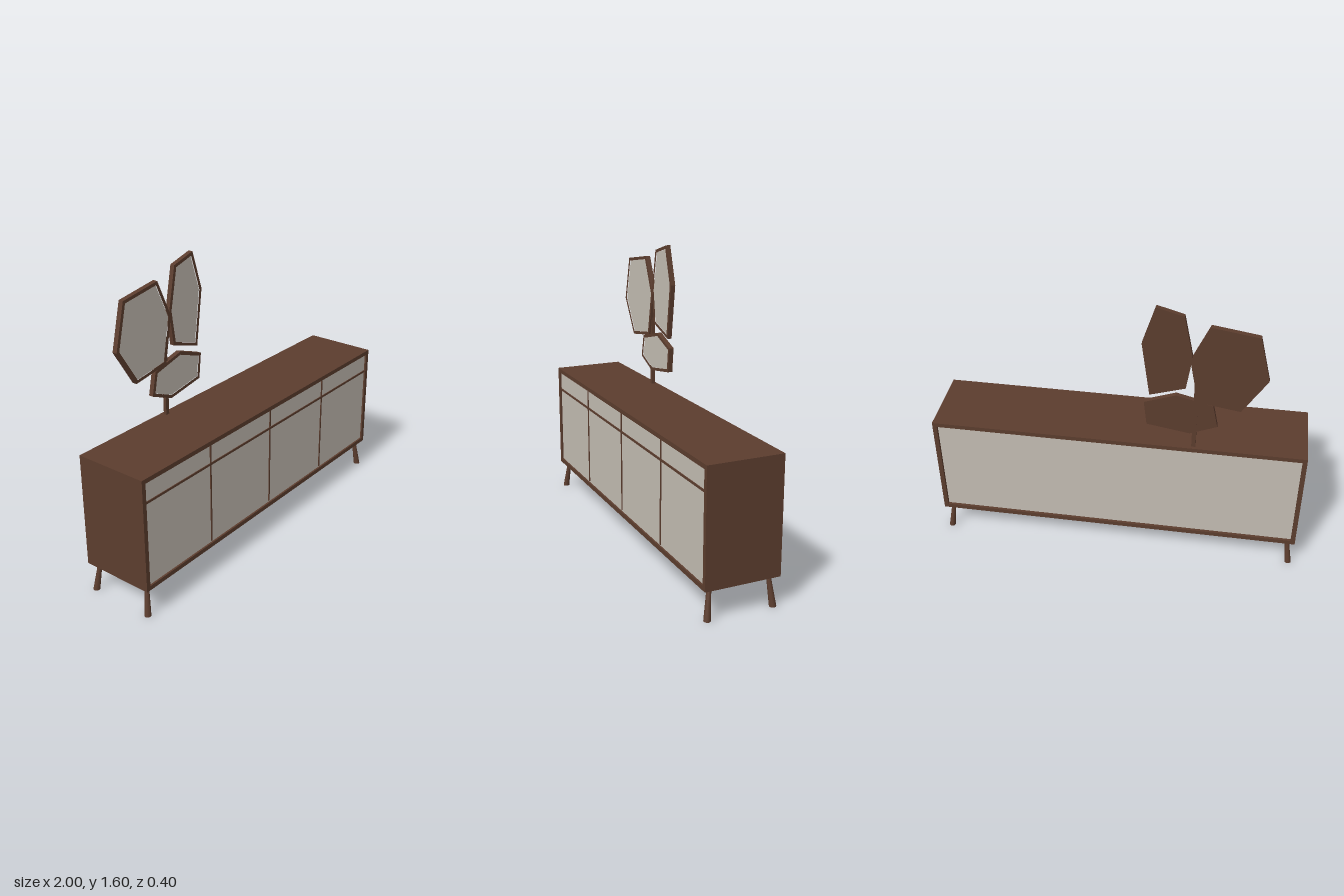
import * as THREE from 'three';

const wood = new THREE.MeshStandardMaterial({ name: 'walnutBrown', color: 0x5c3d2e });
const pale = new THREE.MeshStandardMaterial({ name: 'paleGrey', color: 0xc4bdb3 });
const woodFlat = wood;

function add(parent, name, geometry, material, x = 0, y = 0, z = 0) {
  const mesh = new THREE.Mesh(geometry, material);
  mesh.name = name;
  mesh.position.set(x, y, z);
  parent.add(mesh);
  return mesh;
}
const box = (w, h, d) => new THREE.BoxGeometry(w, h, d);

// Polygon inset by a constant distance (points run clockwise)
function inset(points, d) {
  const n = points.length;
  const edges = points.map((p, i) => {
    const q = points[(i + 1) % n];
    const dir = q.clone().sub(p).normalize();
    return { p: p.clone().add(new THREE.Vector2(dir.y, -dir.x).multiplyScalar(d)), dir };
  });
  return edges.map((e, i) => {
    const f = edges[(i + n - 1) % n];
    const t = e.p.clone().sub(f.p).cross(e.dir) / f.dir.cross(e.dir);
    return f.p.clone().addScaledVector(f.dir, t);
  });
}

// Framed polygonal mirror: backing, raised rim and pale glass
function mirrorPanel(name, coords, front) {
  const group = new THREE.Group();
  group.name = name;
  const outer = coords.map(([x, y]) => new THREE.Vector2(x, y));
  const inner = inset(outer, 0.017);
  const back = -0.184;
  const extrude = (shape, depth) => new THREE.ExtrudeGeometry(shape, { depth, bevelEnabled: false });
  const rim = new THREE.Shape(outer);
  rim.holes.push(new THREE.Path(inner));
  add(group, 'mirrorRim', extrude(rim, front - back), wood, 0, 0, back);
  add(group, 'mirrorBacking', extrude(new THREE.Shape(inner), 0.012), wood, 0, 0, back);
  add(group, 'mirrorGlass', extrude(new THREE.Shape(inner), 0.008), pale, 0, 0, front - 0.011);
  return group;
}

export function createModel() {
  const model = new THREE.Group();
  model.name = 'sideboard';

  const W = 2, D = 0.404, bottom = 0.16, top = 0.775, T = 0.024;
  const midY = (bottom + top) / 2, H = top - bottom;

  // Cabinet shell, open at front and back
  const cabinet = new THREE.Group();
  cabinet.name = 'cabinet';
  model.add(cabinet);
  add(cabinet, 'topBoard', box(W, T, D), wood, 0, top - T / 2, 0);
  add(cabinet, 'bottomBoard', box(W, T, D), wood, 0, bottom + T / 2, 0);
  for (const s of [-1, 1]) {
    add(cabinet, 'sideBoard', box(T, H - 2 * T, D), wood, s * (W / 2 - T / 2), midY, 0);
  }

  // Recessed front and back panels
  add(cabinet, 'frontPanel', box(W - 2 * T, H - 2 * T, 0.02), pale, 0, midY, D / 2 - 0.02);
  add(cabinet, 'backPanel', box(W - 2 * T, H - 2 * T, 0.02), pale, 0, midY, -D / 2 + 0.025);

  // Seams between doors and drawers
  const seamZ = D / 2 - 0.008;
  add(cabinet, 'drawerSeam', box(W - 2 * T, 0.012, 0.005), wood, 0, 0.642, seamZ);
  for (const x of [-0.5, 0, 0.5]) {
    add(cabinet, 'doorSeam', box(0.008, top - T - 0.192, 0.005), wood, x, (top - T + 0.192) / 2, seamZ);
  }

  // Splayed legs, wider at the foot
  for (const sx of [-1, 1]) for (const sz of [-1, 1]) {
    const leg = new THREE.CylinderGeometry(0.011, 0.018, bottom, 12);
    const p = leg.attributes.position;
    for (let i = 0; i < p.count; i++) {
      const t = 0.5 - p.getY(i) / bottom;
      p.setX(i, p.getX(i) + sx * 0.021 * t);
      p.setZ(i, p.getZ(i) + sz * 0.018 * t);
    }
    leg.computeVertexNormals();
    add(model, 'leg', leg, wood, sx * 0.957, bottom / 2, sz * 0.159);
  }

  // Mirror cluster on a slim post
  const mirrors = new THREE.Group();
  mirrors.name = 'mirrorCluster';
  model.add(mirrors);
  add(mirrors, 'post', box(0.022, 0.44, 0.018), wood, -0.408, 0.99, -0.176);
  mirrors.add(mirrorPanel('largeMirror', [
    [-0.70, 1.476], [-0.46, 1.513], [-0.37, 1.31], [-0.417, 1.064], [-0.636, 1.03], [-0.76, 1.23],
  ], -0.157));
  mirrors.add(mirrorPanel('tallMirror', [
    [-0.332, 1.561], [-0.193, 1.6], [-0.128, 1.39], [-0.171, 1.086], [-0.353, 1.144], [-0.38, 1.33],
  ], -0.159));
  mirrors.add(mirrorPanel('smallMirror', [
    [-0.497, 1.048], [-0.305, 1.096], [-0.144, 1.037], [-0.16, 0.898], [-0.385, 0.861], [-0.524, 0.92],
  ], -0.158));

  return model;
}
